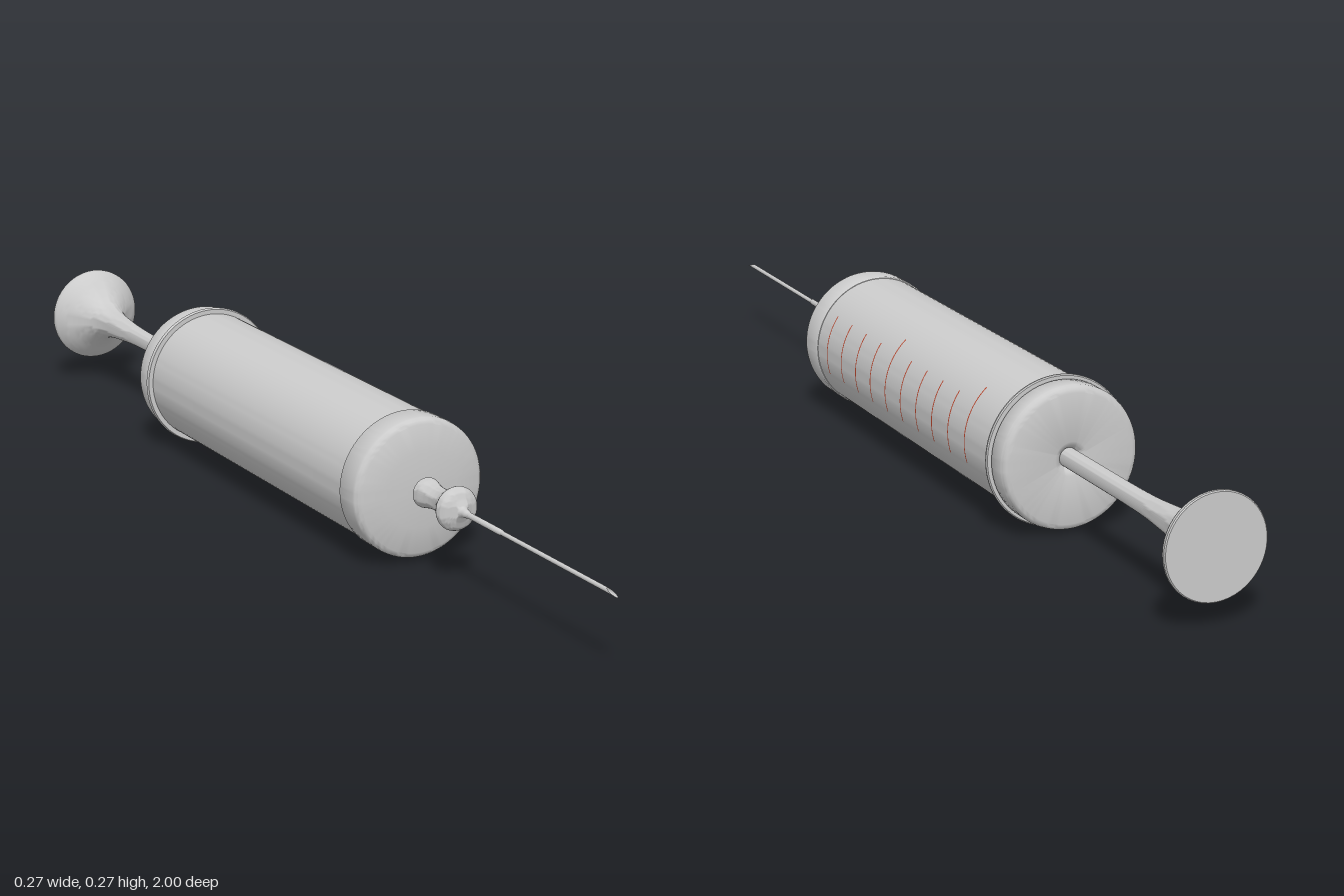
import * as THREE from 'three';
import { toCreasedNormals } from 'three/addons/utils/BufferGeometryUtils.js';

const AXIS_HEIGHT = 0.137;
const BARREL_RADIUS = 0.126;

export function createModel() {
  const model = new THREE.Group();
  model.name = 'syringe';
  const body = new THREE.Group();
  body.name = 'body';
  body.position.y = AXIS_HEIGHT;
  model.add(body);

  const grey = new THREE.MeshStandardMaterial({ color: 0xcccccc });
  const greyDouble = new THREE.MeshStandardMaterial({ color: 0xcccccc, side: THREE.DoubleSide });
  const red = new THREE.MeshStandardMaterial({ color: 0xb8452c, side: THREE.DoubleSide });

  const add = (name, geometry, material = grey) => {
    const mesh = new THREE.Mesh(geometry, material);
    mesh.name = name;
    body.add(mesh);
  };

  // Turned part along z; profile is [radius, z] from back to front
  const turned = (profile, segments = 64) => {
    const points = profile.map(([r, z]) => new THREE.Vector2(r, z));
    const geometry = new THREE.LatheGeometry(points, segments).rotateX(Math.PI / 2);
    return toCreasedNormals(geometry, 0.6);
  };

  // Smooth curve through profile points
  const smooth = (profile, count) =>
    new THREE.SplineCurve(profile.map(([r, z]) => new THREE.Vector2(r, z)))
      .getPoints(count).map((p) => [p.x, p.y]);

  // Barrel with the thin finger flange near its back end
  add('barrel', turned([[BARREL_RADIUS, -0.47], [BARREL_RADIUS, 0.34]], 96));
  add('flange', turned([
    [0.12, -0.451], [0.135, -0.451], [0.137, -0.449], [0.137, -0.446],
    [0.135, -0.443], [0.12, -0.443],
  ], 96));

  // Back cap, dished where the plunger rod enters
  add('backCap', turned([
    [0.016, -0.488], [0.019, -0.494], [0.024, -0.499], [0.031, -0.502],
    [0.118, -0.503], [0.124, -0.501], [0.128, -0.497], [0.13, -0.491],
    [0.13, -0.456], [0.128, -0.453], [0.12, -0.453],
  ], 96));

  // Front cap with a slightly domed face
  add('frontCap', turned([
    [0.12, 0.318], [0.127, 0.318], [0.129, 0.321], [0.129, 0.366],
    [0.128, 0.372], [0.124, 0.377], [0.118, 0.38], [0.07, 0.386], [0, 0.39],
  ], 96));

  // Nozzle: waisted neck swelling into the rounded needle hub
  add('nozzle', turned(smooth([
    [0.017, 0.378], [0.019, 0.393], [0.027, 0.4], [0.026, 0.41], [0.022, 0.43],
    [0.021, 0.45], [0.024, 0.472], [0.032, 0.488], [0.039, 0.499],
    [0.039, 0.507], [0.033, 0.515], [0.019, 0.521], [0.01, 0.527],
    [0.007, 0.54], [0.004, 0.55],
  ], 56), 48));

  // Hollow needle, its open end cut at a slant
  const needle = new THREE.CylinderGeometry(0.0042, 0.0042, 0.48, 16, 1, true);
  needle.rotateX(Math.PI / 2).translate(0, 0, 0.75);
  const pos = needle.attributes.position;
  for (let i = 0; i < pos.count; i++) {
    if (pos.getZ(i) > 0.9) pos.setZ(i, 0.985 - pos.getY(i) * 3.57);
  }
  add('needle', needle, greyDouble);
  add('needleSleeve', turned([[0.0055, 0.53], [0.0055, 0.648], [0.0042, 0.652]], 16));

  // Plunger rod flaring into the thumb rest
  add('plunger', turned([
    [0, -1], [0.092, -1], [0.094, -0.998], [0.094, -0.993],
    ...smooth([
      [0.092, -0.989], [0.08, -0.975], [0.058, -0.953], [0.038, -0.925],
      [0.028, -0.89], [0.023, -0.84], [0.019, -0.78], [0.0175, -0.7],
    ], 32),
    [0.0175, -0.47],
  ], 48));

  // Scale: ten arcs on the left side, every fifth one longer
  for (let i = 1; i <= 10; i++) {
    const z = 0.34 - i * 0.068;
    const r = BARREL_RADIUS + 0.0006;
    const low = -0.31;
    const high = i % 5 === 0 ? 0.85 : 0.62;
    const arc = new THREE.LatheGeometry(
      [new THREE.Vector2(r, z - 0.0015), new THREE.Vector2(r, z + 0.0015)],
      24, Math.PI / 2 + low, high - low,
    ).rotateX(Math.PI / 2);
    add(`scaleMark${i}`, arc, red);
  }

  return model;
}
